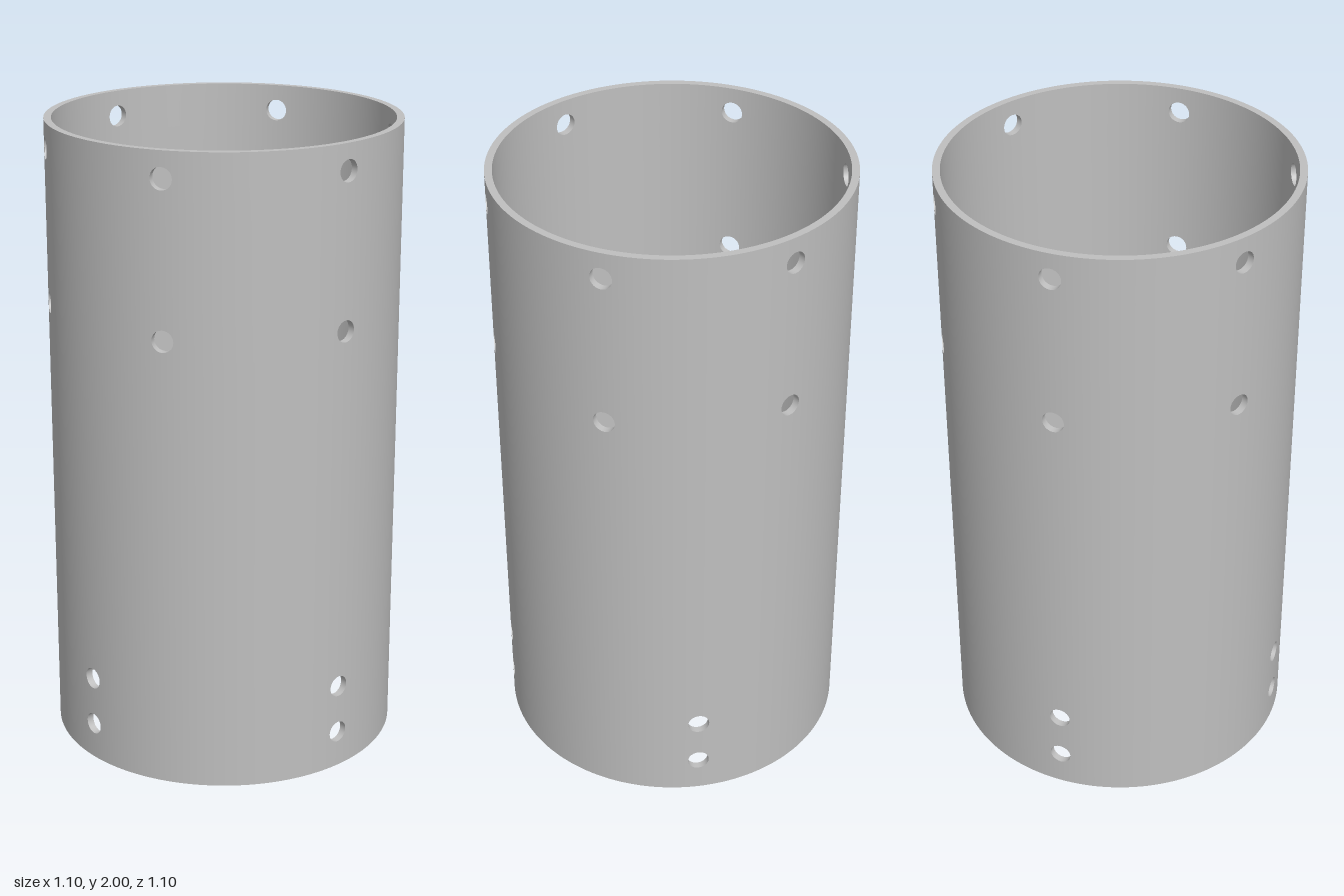
import * as THREE from 'three';

const OUTER = 0.548, INNER = 0.525, HEIGHT = 2, HOLE = 0.034;
const CELL = Math.PI / 18, HALF = 0.055; // wall cell: 10 degrees wide, hole cells 2 * HALF tall
const SUB = 8; // subdivisions per cell side

// Hole rows: height and how many holes are spread around the tube
const ROWS = [
  { y: 0.118, count: 4 },
  { y: 0.277, count: 4 },
  { y: 1.437, count: 6 },
  { y: 1.918, count: 6 },
];

const onWall = (r, a, y) => new THREE.Vector3(r * Math.cos(a), y, -r * Math.sin(a));
const radial = (sign) => (p) => new THREE.Vector3(p.x, 0, p.z).normalize().multiplyScalar(sign);

// Collects quads (counter-clockwise from the front) with exact normals
function surface() {
  const pos = [], nor = [];
  return {
    quad(a, b, c, d, normal) {
      for (const p of [a, b, c, a, c, d]) {
        pos.push(p.x, p.y, p.z);
        nor.push(...normal(p).toArray());
      }
    },
    mesh(name, material) {
      const g = new THREE.BufferGeometry();
      g.setAttribute('position', new THREE.Float32BufferAttribute(pos, 3));
      g.setAttribute('normal', new THREE.Float32BufferAttribute(nor, 3));
      const m = new THREE.Mesh(g, material);
      m.name = name;
      return m;
    },
  };
}

// Plain curved cell of the wall
function plainCell(s, r, sign, angle, y0, y1) {
  for (let i = 0; i < SUB; i++) {
    const a0 = angle + CELL * (i / SUB - 0.5), a1 = a0 + CELL / SUB;
    const q = [onWall(r, a0, y0), onWall(r, a1, y0), onWall(r, a1, y1), onWall(r, a0, y1)];
    if (sign < 0) q.reverse();
    s.quad(...q, radial(sign));
  }
}

// Point on the drilled circle, and the matching point on the cell border
function square(k) {
  const n = SUB * 4, side = Math.floor((k % n) / SUB), t = ((k % SUB) / SUB) * 2 - 1;
  return [[1, t], [-t, 1], [-1, -t], [t, -1]][side];
}
function rimPoint(r, angle, y, k) {
  const [u, v] = square(k), len = Math.hypot(u, v);
  return onWall(r, angle + Math.asin((HOLE * u) / len / r), y + (HOLE * v) / len);
}
function borderPoint(r, angle, y, k) {
  const [u, v] = square(k);
  return onWall(r, angle + (u * CELL) / 2, y + v * HALF);
}

// Curved cell with a round hole
function holeCell(s, r, sign, angle, y) {
  for (let k = 0; k < SUB * 4; k++) {
    const q = [rimPoint(r, angle, y, k), borderPoint(r, angle, y, k),
      borderPoint(r, angle, y, k + 1), rimPoint(r, angle, y, k + 1)];
    if (sign < 0) q.reverse();
    s.quad(...q, radial(sign));
  }
}

// Drilled wall of a hole, facing its axis
function holeWall(s, angle, y) {
  const axis = onWall(1, angle, 0);
  const normal = (p) => {
    const c = axis.clone().multiplyScalar(p.dot(axis));
    c.y = y;
    return c.sub(p).normalize();
  };
  for (let k = 0; k < SUB * 4; k++) {
    s.quad(rimPoint(OUTER, angle, y, k), rimPoint(OUTER, angle, y, k + 1),
      rimPoint(INNER, angle, y, k + 1), rimPoint(INNER, angle, y, k), normal);
  }
}

export function createModel() {
  const group = new THREE.Group();
  group.name = 'drilledTube';
  const metal = new THREE.MeshStandardMaterial({ color: 0xbfbfbf });
  metal.name = 'grey metal';

  const outside = surface(), inside = surface(), holes = surface();
  const walls = [[outside, OUTER, 1], [inside, INNER, -1]];

  for (let i = 0; i < 36; i++) {
    const angle = i * CELL;
    let low = 0;
    for (const { y, count } of ROWS) {
      const drilled = i % (36 / count) === 0;
      for (const [s, r, sign] of walls) {
        plainCell(s, r, sign, angle, low, y - HALF);
        if (drilled) holeCell(s, r, sign, angle, y);
        else plainCell(s, r, sign, angle, y - HALF, y + HALF);
      }
      if (drilled) holeWall(holes, angle, y);
      low = y + HALF;
    }
    for (const [s, r, sign] of walls) plainCell(s, r, sign, angle, low, HEIGHT);
  }
  group.add(outside.mesh('outerWall', metal), inside.mesh('innerWall', metal), holes.mesh('boltHoles', metal));

  // Flat end rims
  for (const [name, y, turn] of [['topRim', HEIGHT, -1], ['bottomRim', 0, 1]]) {
    const rim = new THREE.Mesh(new THREE.RingGeometry(INNER, OUTER, 36 * SUB), metal);
    rim.rotation.x = (turn * Math.PI) / 2;
    rim.position.y = y;
    rim.name = name;
    group.add(rim);
  }
  return group;
}
